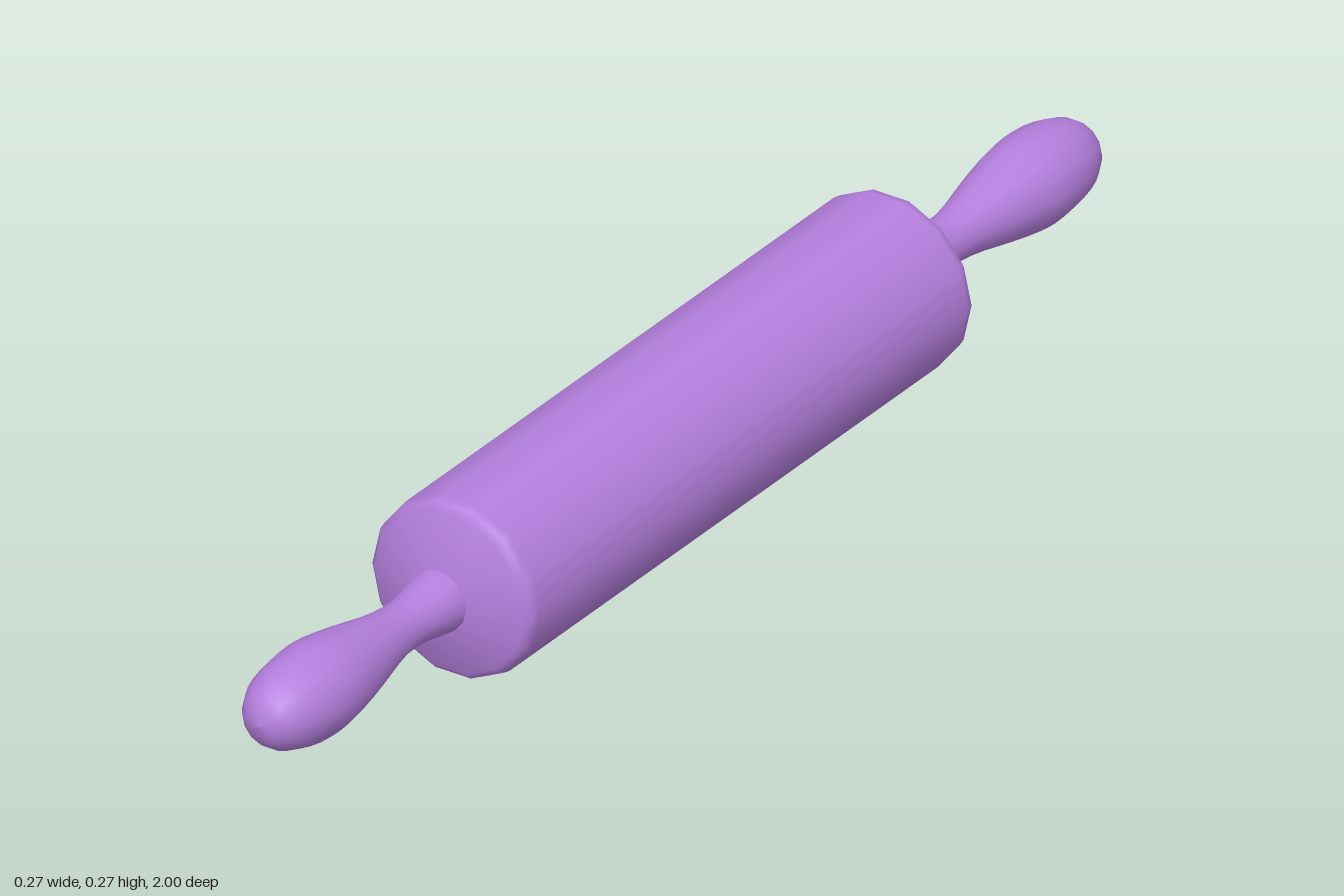
import * as THREE from 'three';

const SIDES = 14;
const AXIS_Y = 0.134;

// Turn a [radius, z] profile, listed from low to high z, around the z axis
function turned(profile) {
  const points = profile.map(([r, z]) => new THREE.Vector2(r, z));
  return new THREE.LatheGeometry(points, SIDES, Math.PI / 2).rotateX(Math.PI / 2);
}

export function createModel() {
  const group = new THREE.Group();
  group.name = 'rollingPin';
  const material = new THREE.MeshStandardMaterial({ color: 0xb57fde });

  // Barrel: straight cylinder with rounded shoulders and shallow cone ends
  const end = [[0.137, 0.517], [0.134, 0.53], [0.124, 0.539], [0.048, 0.567], [0, 0.567]];
  const start = end.map(([r, z]) => [r, -z]).reverse();
  const barrel = new THREE.Mesh(turned([...start, ...end]), material);
  barrel.name = 'barrel';
  barrel.position.y = AXIS_Y;
  group.add(barrel);

  // Handles: flared base, narrow neck and bulbous grip
  const grip = new THREE.SplineCurve([
    [0.049, 0.555], [0.046, 0.58], [0.038, 0.625], [0.036, 0.66], [0.041, 0.705],
    [0.055, 0.77], [0.066, 0.83], [0.069, 0.87], [0.065, 0.92], [0.052, 0.963],
    [0.03, 0.99], [0, 1],
  ].map(([r, z]) => new THREE.Vector2(r, z)));
  const profile = grip.getPoints(24).map((p) => [Math.max(p.x, 0), p.y]);
  const handleGeometry = turned(profile);
  for (const [name, turn] of [['frontHandle', 0], ['backHandle', Math.PI]]) {
    const handle = new THREE.Mesh(handleGeometry, material);
    handle.name = name;
    handle.position.y = AXIS_Y;
    handle.rotation.y = turn;
    group.add(handle);
  }

  return group;
}
